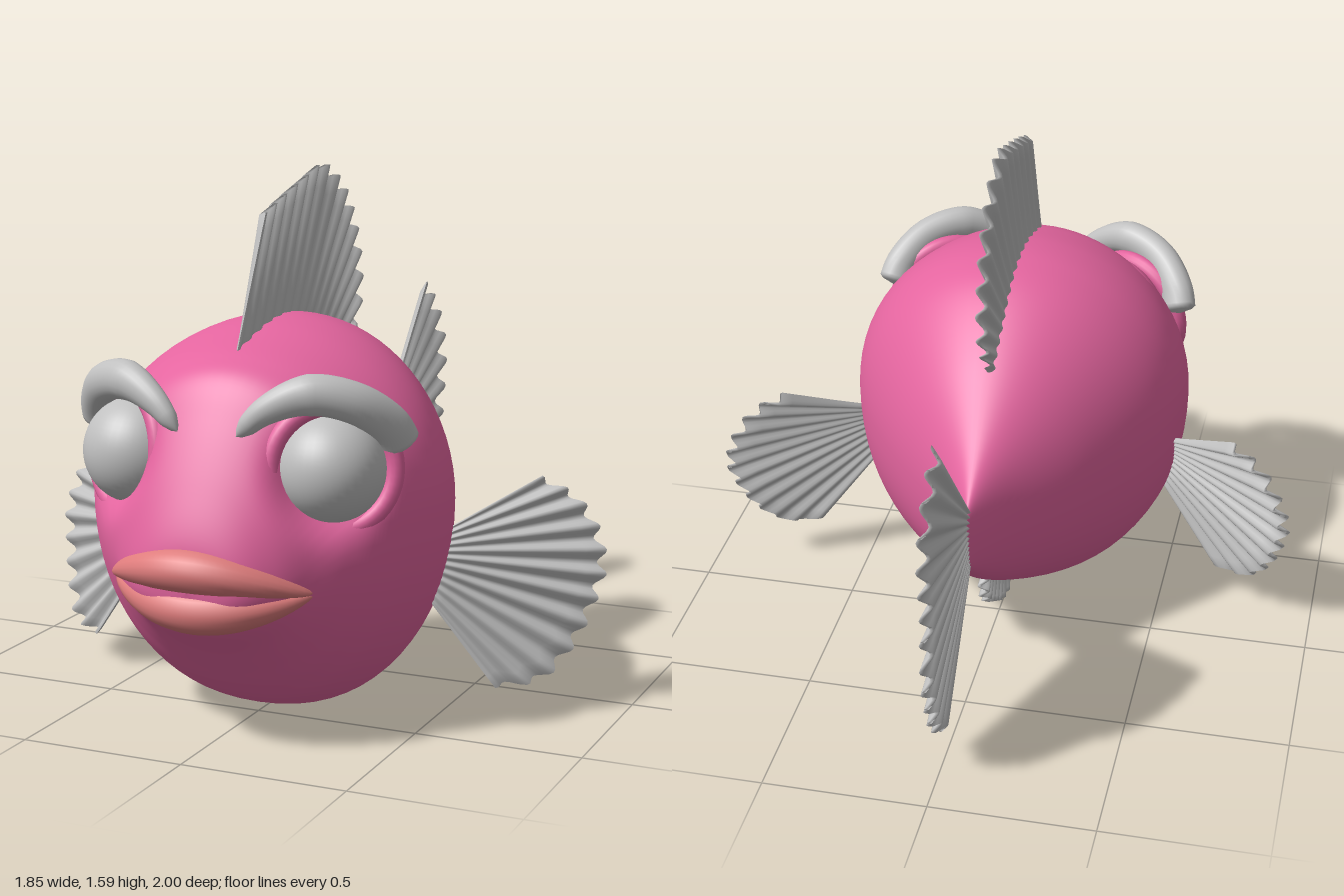
import * as THREE from 'three';

const V = (x, y, z) => new THREE.Vector3(x, y, z);
const curve = (pts, type = 'centripetal') =>
  new THREE.CatmullRomCurve3(pts.map((p) => V(...p)), false, type);

// Skin a list of closed rings, facing outward
function skin(rings) {
  const n = rings[0].length, pos = [], idx = [];
  rings.forEach((ring) => ring.forEach((p) => pos.push(p.x, p.y, p.z)));
  for (let i = 0; i < rings.length - 1; i++) {
    for (let k = 0; k < n; k++) {
      const a = i * n + k, b = i * n + (k + 1) % n;
      idx.push(a, b, a + n, b, b + n, a + n);
    }
  }
  const at = (i) => V(pos[3 * i], pos[3 * i + 1], pos[3 * i + 2]);
  let volume = 0;
  for (let i = 0; i < idx.length; i += 3) {
    volume += at(idx[i]).dot(at(idx[i + 1]).cross(at(idx[i + 2])));
  }
  if (volume < 0) idx.reverse();
  const geo = new THREE.BufferGeometry();
  geo.setAttribute('position', new THREE.Float32BufferAttribute(pos, 3));
  geo.setIndex(idx);
  geo.computeVertexNormals();
  return geo;
}

function mirrored(geo) {
  const g = geo.clone().scale(-1, 1, 1);
  g.index.array.reverse();
  return g;
}

// Tapered oval tube along a path; radii(t) = [across, along facing]
function loft(path, facing, radii, steps = 40, sides = 20) {
  const rings = [];
  for (let i = 0; i <= steps; i++) {
    const t = i / steps, c = path.getPoint(t), tan = path.getTangent(t);
    const across = tan.clone().cross(facing).normalize();
    const out = across.clone().cross(tan).normalize();
    const [ra, rb] = radii(t);
    rings.push(Array.from({ length: sides }, (_, k) => {
      const a = k / sides * Math.PI * 2;
      return c.clone().addScaledVector(across, ra * Math.cos(a)).addScaledVector(out, rb * Math.sin(a));
    }));
  }
  return skin(rings);
}

// Pleated fan between a root curve and a tip curve, with scalloped edge
function fin(rootPts, tipPts, normal, pleats, amp = 0.013) {
  const root = curve(rootPts), tip = curve(tipPts), rings = [];
  const steps = pleats * 8, rows = 8;
  for (let i = 0; i <= steps; i++) {
    const u = i / steps, a = root.getPoint(u), b = tip.getPoint(u);
    const wave = Math.cos(u * pleats * Math.PI * 2);
    b.lerp(a, 0.025 * (1 - wave));
    const thick = i === 0 || i === steps ? 0 : 0.006;
    const point = (v, side) => a.clone().lerp(b, v)
      .addScaledVector(normal, amp * wave * (0.25 + 0.75 * v) + side * thick);
    const ring = [];
    for (let r = 0; r <= rows; r++) ring.push(point(r / rows, 1));
    for (let r = rows; r >= 0; r--) ring.push(point(r / rows, -1));
    rings.push(ring);
  }
  return skin(rings);
}

const EYE = V(0.305, 0.8, 0.66), GAZE = V(0.52, 0.12, 0.84).normalize();

// Body: oval cross-sections from tail to mouth, flattened under the eyes
function bodyGeometry() {
  // z, half width, height of widest point, top, bottom
  const stations = [
    [-0.465, 0, 0.57, 0.6, 0.54], [-0.46, 0.014, 0.57, 0.665, 0.48], [-0.3, 0.125, 0.58, 0.8, 0.33],
    [-0.1, 0.305, 0.6, 0.99, 0.19], [0.1, 0.45, 0.62, 1.125, 0.075], [0.25, 0.52, 0.64, 1.165, 0.02],
    [0.4, 0.54, 0.65, 1.16, 0.002], [0.55, 0.508, 0.66, 1.125, 0.05], [0.65, 0.455, 0.65, 1.09, 0.12],
    [0.73, 0.39, 0.62, 1.04, 0.2], [0.8, 0.315, 0.56, 0.93, 0.27], [0.88, 0.235, 0.51, 0.77, 0.34],
    [0.94, 0.14, 0.49, 0.62, 0.41], [0.955, 0, 0.49, 0.5, 0.48],
  ];
  const widths = curve(stations.map((s) => [s[0], s[1], s[2]]), 'catmullrom');
  const heights = curve(stations.map((s) => [s[0], s[3], s[4]]), 'catmullrom');
  const rings = [], steps = 104, sides = 72;
  for (let i = 0; i <= steps; i++) {
    const w = widths.getPoint(i / steps), h = heights.getPoint(i / steps);
    const ring = [];
    for (let k = 0; k < sides; k++) {
      const a = k / sides * Math.PI * 2, c = Math.cos(a), s = Math.sin(a);
      const e = s > 0 ? 1 : 0.93;
      const x = Math.max(w.y, 0) * Math.sign(c) * Math.abs(c) ** e;
      const y = w.z + (s > 0 ? h.y - w.z : w.z - h.z) * Math.sign(s) * Math.abs(s) ** e;
      const p = V(x, y, w.x), side = x < 0 ? -1 : 1;
      const n = V(GAZE.x * side, GAZE.y, GAZE.z);
      const d = p.clone().sub(V(EYE.x * side, EYE.y, EYE.z)), up = d.dot(n);
      const away = d.addScaledVector(n, -up).length();
      if (up > 0.02) p.addScaledVector(n, (0.02 - up) * Math.exp(-((away / 0.16) ** 4)));
      ring.push(p);
    }
    rings.push(ring);
  }
  return skin(rings);
}

export function createModel() {
  const model = new THREE.Group();
  model.name = 'fish';
  const material = (name, color) => {
    const m = new THREE.MeshStandardMaterial({ color, side: THREE.DoubleSide });
    m.name = name;
    return m;
  };
  const pink = material('pinkSkin', 0xe4659f);
  const salmon = material('salmonLips', 0xde7c7c);
  const grey = material('grey', 0xc0c0c0);
  const add = (name, geo, mat, parent = model) => {
    const mesh = new THREE.Mesh(geo, mat);
    mesh.name = name;
    parent.add(mesh);
    return mesh;
  };

  add('body', bodyGeometry(), pink);

  // Lips
  const lip = (y, bend, z, ry, rz) => {
    const pts = [-1, -0.75, -0.5, -0.25, 0, 0.25, 0.5, 0.75, 1]
      .map((t) => [0.31 * t, y + bend * t * t, z - 0.14 * t * t]);
    return loft(curve(pts), V(0, 0, 1), (t) => {
      const f = Math.max(0, 1 - (2 * t - 1) ** 2);
      return [ry * f ** 0.8, rz * f ** 0.5];
    });
  };
  add('upperLip', lip(0.538, -0.065, 0.92, 0.065, 0.08), salmon);
  add('lowerLip', lip(0.418, 0.048, 0.9, 0.068, 0.075), salmon);

  // Eyes with lids, and brows
  const browGeo = loft(
    curve([[0.09, 0.9, 0.82], [0.17, 0.975, 0.8], [0.28, 1.02, 0.755], [0.39, 0.995, 0.69], [0.46, 0.925, 0.61], [0.48, 0.86, 0.565]]),
    GAZE,
    (t) => {
      const end = Math.min(1, t / 0.08, (1 - t) / 0.04) ** 0.5;
      return [end * (0.022 + 0.036 * Math.min(1, t / 0.4)), end * (0.02 + 0.03 * Math.min(1, t / 0.4))];
    });
  for (const side of [1, -1]) {
    const label = side > 0 ? 'left' : 'right';
    const eye = new THREE.Group();
    eye.name = label + 'Eye';
    eye.position.set(EYE.x * side, EYE.y, EYE.z);
    eye.lookAt(eye.position.clone().add(V(GAZE.x * side, GAZE.y, GAZE.z)));
    model.add(eye);
    add('eyeball', new THREE.SphereGeometry(0.157, 40, 28), grey, eye);
    const mound = add('eyeSocket', new THREE.SphereGeometry(1, 40, 28), pink, eye);
    mound.scale.set(0.205, 0.235, 0.12);
    mound.position.z = -0.07;
    add('eyelid', new THREE.TorusGeometry(0.175, 0.028, 14, 48), pink, eye).position.z = 0.035;
    add(label + 'Brow', side > 0 ? browGeo : mirrored(browGeo), grey);
  }

  // Fins on the midline
  const sideways = V(1, 0, 0);
  add('dorsalFin', fin(
    [[-0.005, 1.08, 0.63], [-0.005, 1.12, 0.3], [-0.005, 1.08, 0.05], [-0.002, 0.95, -0.12]],
    [[0.01, 1.48, 0.48], [0.012, 1.52, 0.36], [0.014, 1.56, 0.22], [0.015, 1.59, 0.08], [0.012, 1.52, -0.07],
      [0.008, 1.41, -0.17], [0.004, 1.27, -0.23], [0, 1.12, -0.24], [0, 0.98, -0.14]],
    sideways, 15), grey);
  add('tailFin', fin(
    [[0, 0.655, -0.43], [0, 0.57, -0.44], [0, 0.49, -0.43]],
    [[0, 1.12, -0.815], [0, 1.04, -0.91], [0, 0.92, -0.985], [0, 0.79, -1], [0, 0.66, -0.975], [0, 0.54, -0.98],
      [0, 0.41, -0.98], [0, 0.29, -0.94], [0, 0.19, -0.89], [0, 0.1, -0.78]],
    sideways, 13), grey);
  add('analFin', fin(
    [[0, 0.1, 0.18], [0, 0.2, 0], [0, 0.34, -0.2]],
    [[0, 0.045, 0.16], [0, 0.02, 0.08], [0, 0.05, -0.02], [0, 0.1, -0.1], [0, 0.16, -0.185], [0, 0.23, -0.235], [0, 0.3, -0.23]],
    sideways, 9), grey);

  // Side fins
  const sideFin = fin(
    [[0.51, 0.56, 0.27], [0.5, 0.47, 0.31], [0.47, 0.36, 0.34]],
    [[0.72, 0.69, 0.06], [0.82, 0.63, 0.02], [0.885, 0.53, 0], [0.912, 0.42, 0.02], [0.89, 0.31, 0.06],
      [0.85, 0.2, 0.12], [0.78, 0.11, 0.2], [0.66, 0.092, 0.28]],
    V(0.6, 0.28, 0.75), 11);
  add('leftSideFin', sideFin, grey);
  add('rightSideFin', mirrored(sideFin), grey);
  return model;
}
